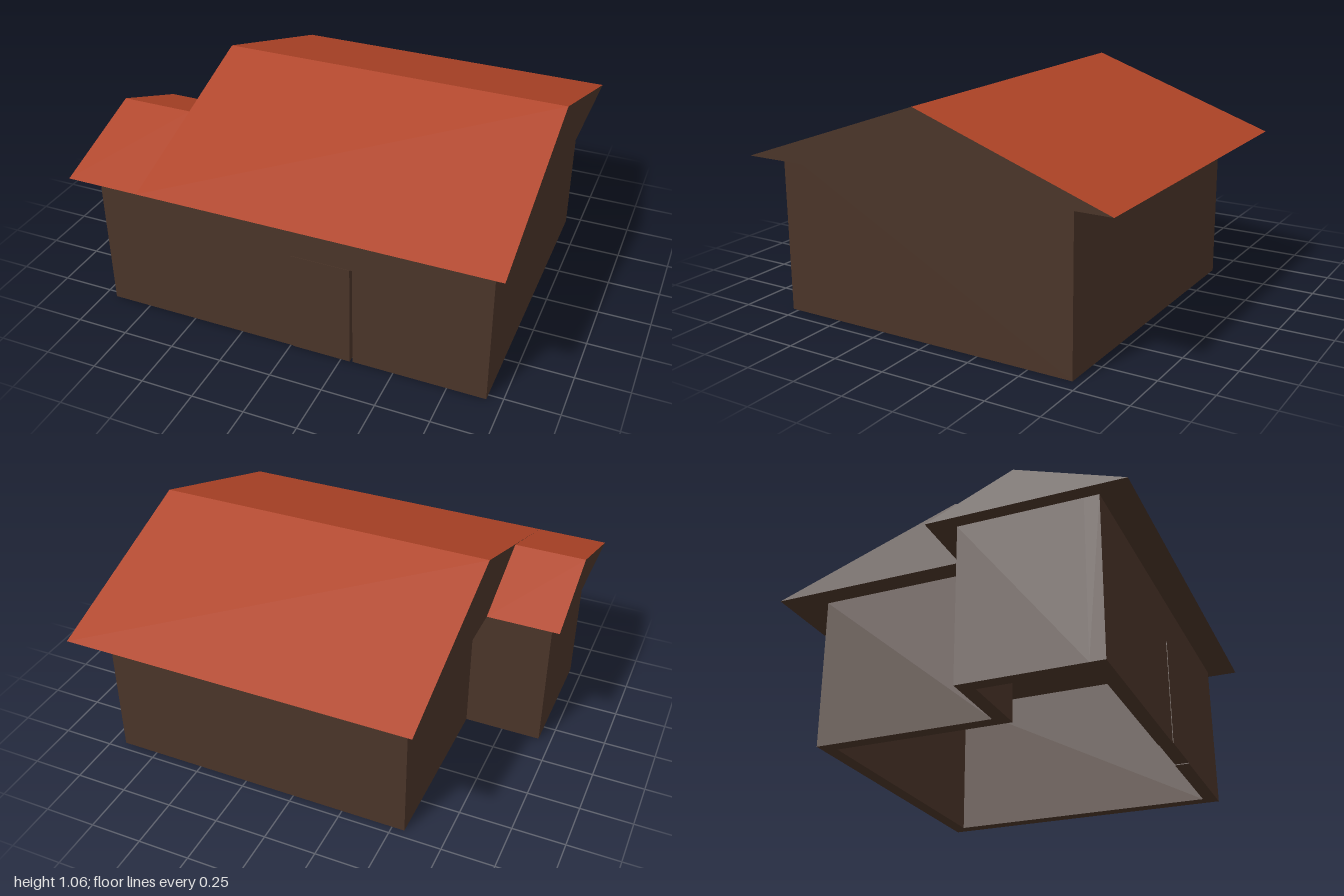
import * as THREE from 'three';

const WALL_TOP = 0.731, EAVE = 0.737, T = 0.067;
const X0 = -0.94, X1 = 0.93, STEP_X = -0.56;    // wall extents, inner corner of the L plan
const Z0 = -0.71, Z1 = 0.78, STEP_Z = 0.15;
const DOOR = { x0: 0.015, x1: 0.305, top: 0.505 };

const polygon = (pts) => new THREE.Shape(pts.map(([x, y]) => new THREE.Vector2(x, y)));
const extrude = (shape, depth) => new THREE.ExtrudeGeometry(shape, { depth, bevelEnabled: false });

// Solid gable along x: group 0 = two slopes, group 1 = ends and underside
function gableGeometry(xa, xb, zFront, zRidge, zBack, ridge) {
  const section = [[EAVE, zFront], [ridge, zRidge], [EAVE, zBack]];
  const pos = [];
  const L = section.map(([y, z]) => [xa, y, z]);
  const R = section.map(([y, z]) => [xb, y, z]);
  for (let i = 0; i < 3; i++) {
    const j = (i + 1) % 3;
    pos.push(...L[i], ...R[i], ...R[j], ...L[i], ...R[j], ...L[j]);
  }
  pos.push(...R[0], ...R[2], ...R[1], ...L[0], ...L[1], ...L[2]);
  const g = new THREE.BufferGeometry();
  g.setAttribute('position', new THREE.Float32BufferAttribute(pos, 3));
  g.computeVertexNormals();
  g.addGroup(0, 12, 0);
  g.addGroup(12, 12, 1);
  return g;
}

export function createModel() {
  const house = new THREE.Group();
  house.name = 'house';
  const wood = new THREE.MeshStandardMaterial({ color: 0x4a3428 });
  wood.name = 'dark brown wood';
  const tile = new THREE.MeshStandardMaterial({ color: 0xb04427 });
  tile.name = 'red roof';

  const add = (name, geometry, material) => {
    const mesh = new THREE.Mesh(geometry, material);
    mesh.name = name;
    house.add(mesh);
    return mesh;
  };

  // Side and back walls: open band following the L plan (drawn with y = -z)
  const zf = Z1 - T;
  const plan = [
    [X1, zf], [X1, Z0], [STEP_X, Z0], [STEP_X, STEP_Z], [X0, STEP_Z], [X0, zf],
    [X0 + T, zf], [X0 + T, STEP_Z + T], [STEP_X + T, STEP_Z + T],
    [STEP_X + T, Z0 + T], [X1 - T, Z0 + T], [X1 - T, zf],
  ].map(([x, z]) => [x, -z]);
  add('sideAndBackWalls', extrude(polygon(plan), WALL_TOP).rotateX(-Math.PI / 2), wood);

  // Front wall with the doorway notched out
  const front = polygon([
    [X0, 0], [DOOR.x0, 0], [DOOR.x0, DOOR.top], [DOOR.x1, DOOR.top],
    [DOOR.x1, 0], [X1, 0], [X1, WALL_TOP], [X0, WALL_TOP],
  ]);
  add('frontWall', extrude(front, T).translate(0, 0, zf), wood);

  // Door, with a narrow gap on its latch side
  const w = DOOR.x1 - DOOR.x0 - 0.012;
  add('door', new THREE.BoxGeometry(w, DOOR.top, T), wood)
    .position.set(DOOR.x0 + w / 2, DOOR.top / 2, Z1 - T / 2 + 0.003);

  // Main roof and the lower roof over the side wing
  add('mainRoof', gableGeometry(-0.655, 1, 0.917, 0, -0.917, 1.057), [tile, wood]);
  add('wingRoof', gableGeometry(-1, -0.655, 0.917, 0.43, 0.027, 0.905), [tile, wood]);

  return house;
}
